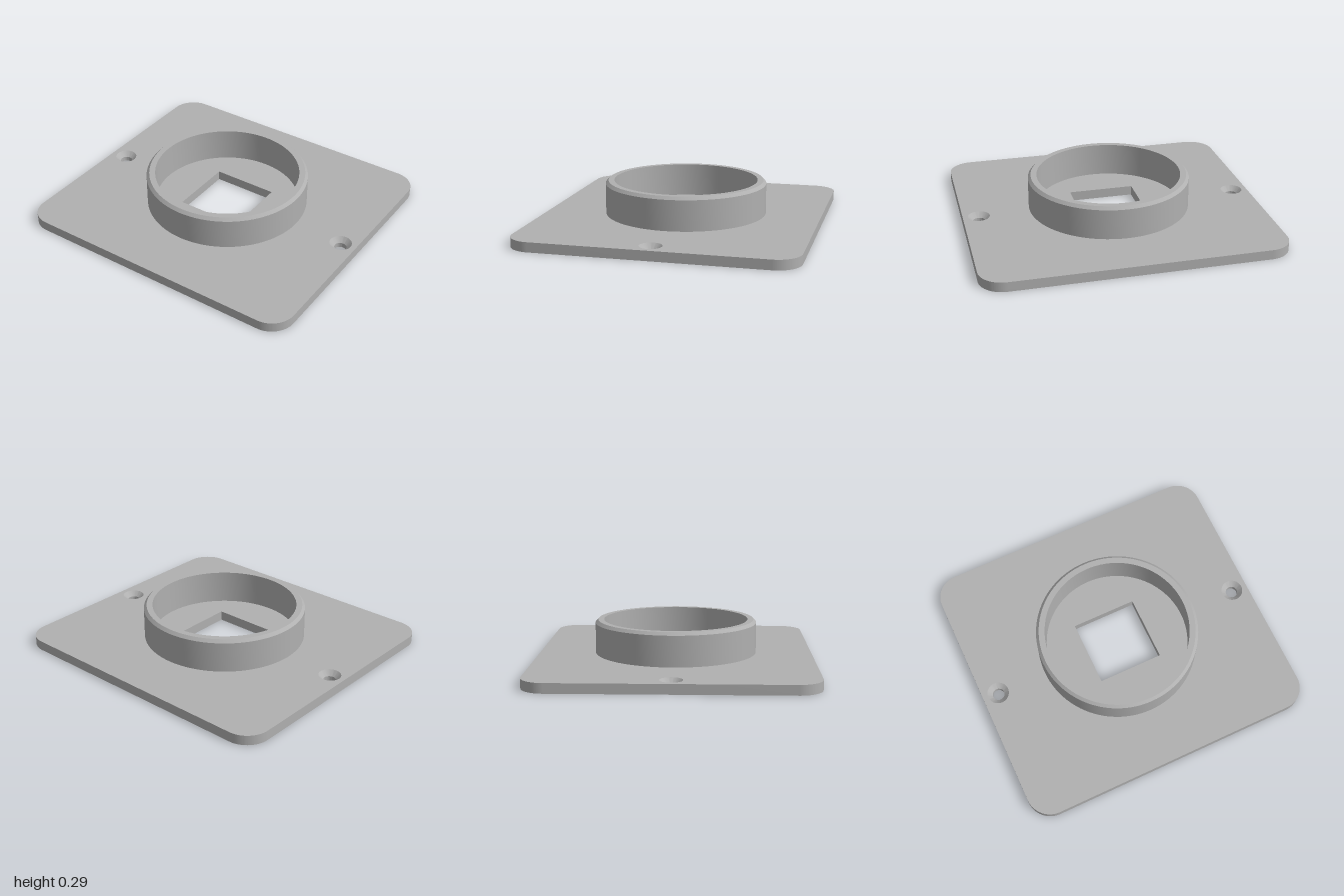
import * as THREE from 'three';
import { toCreasedNormals } from 'three/addons/utils/BufferGeometryUtils.js';

const HALF_X = 1, HALF_Z = 0.92, CORNER = 0.16, THICK = 0.065;
const HOLE_X = 0.892, HOLE_R = 0.04, SINK_R = 0.073, WINDOW = 0.221;

export function createModel() {
  const group = new THREE.Group();
  const grey = new THREE.MeshStandardMaterial({ color: 0xb0b0b0 });
  grey.name = 'grey';

  const add = (name, geometry) => {
    const mesh = new THREE.Mesh(toCreasedNormals(geometry, 0.5), grey);
    mesh.name = name;
    group.add(mesh);
    return mesh;
  };
  const lathe = (profile, segments) =>
    new THREE.LatheGeometry(profile.map(([r, y]) => new THREE.Vector2(r, y)), segments);

  // Base plate: rounded rectangle with a square window and two screw openings
  const outline = new THREE.Shape();
  const cx = HALF_X - CORNER, cz = HALF_Z - CORNER;
  [[cx, cz], [-cx, cz], [-cx, -cz], [cx, -cz]].forEach(([x, y], i) =>
    outline.absarc(x, y, CORNER, i * Math.PI / 2, (i + 1) * Math.PI / 2, false));
  outline.closePath();
  const w = WINDOW;
  outline.holes.push(new THREE.Path(
    [[-w, -w], [-w, w], [w, w], [w, -w]].map(([x, y]) => new THREE.Vector2(x, y))));
  for (const side of [-1, 1]) {
    outline.holes.push(new THREE.Path().absarc(side * HOLE_X, 0, SINK_R, 0, Math.PI * 2, true));
  }
  const plate = new THREE.ExtrudeGeometry(outline, { depth: THICK, bevelEnabled: false, curveSegments: 24 });
  plate.rotateX(-Math.PI / 2);
  add('basePlate', plate);

  // Countersunk screw holes lining the openings
  for (const side of [-1, 1]) {
    const sink = add(side > 0 ? 'leftScrewHole' : 'rightScrewHole', lathe(
      [[SINK_R, THICK], [HOLE_R, THICK - 0.033], [HOLE_R, 0], [SINK_R, 0]], 48));
    sink.position.x = side * HOLE_X;
  }

  // Round collar with a chamfered outer rim
  add('collar', lathe(
    [[0.546, THICK], [0.546, 0.27], [0.527, 0.29], [0.487, 0.29], [0.487, THICK]], 96));

  return group;
}
